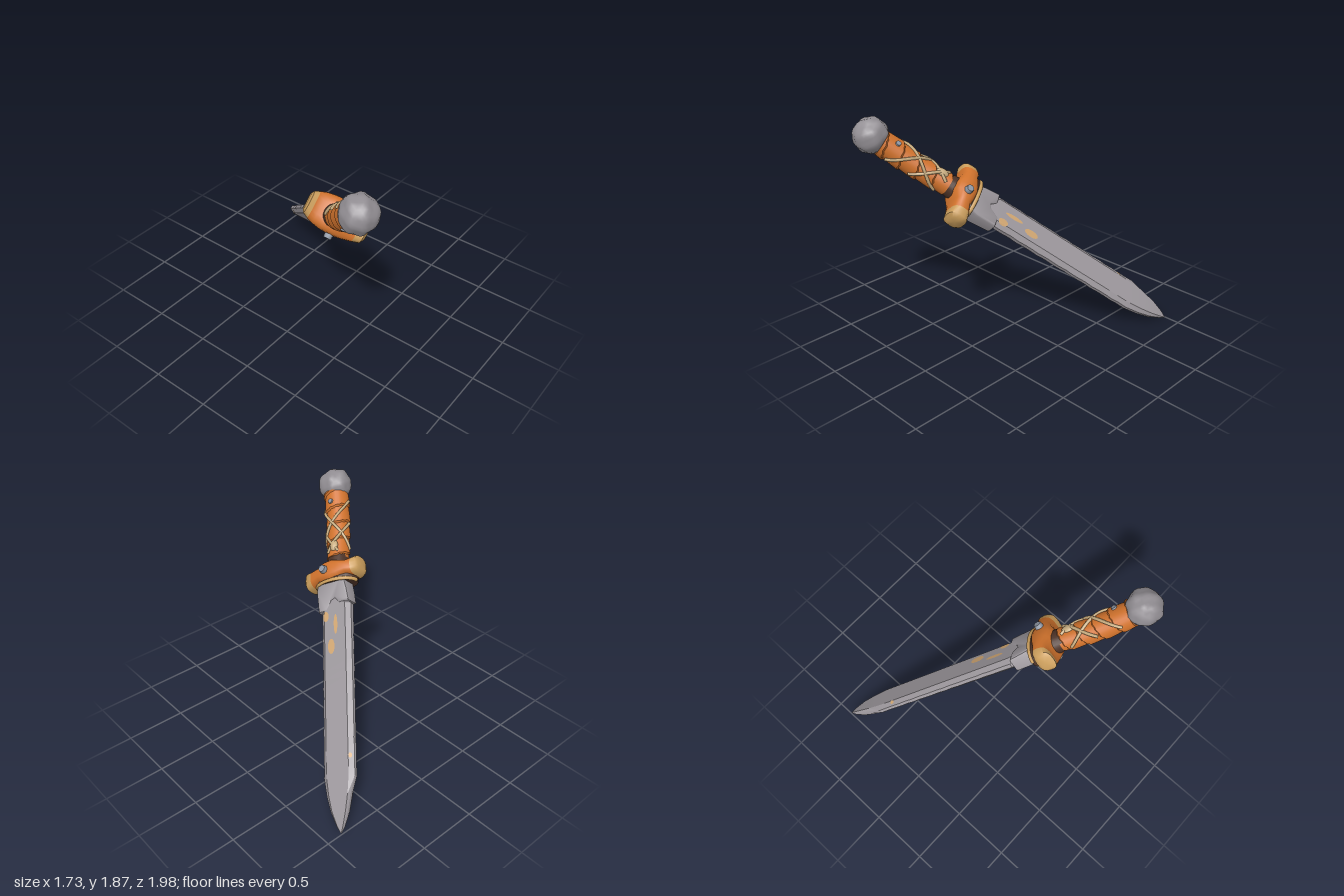
import * as THREE from 'three';
import { mergeVertices, toCreasedNormals } from 'three/addons/utils/BufferGeometryUtils.js';

const mat = (name, color) => {
  const m = new THREE.MeshStandardMaterial({ color });
  m.name = name;
  return m;
};

// Skin a list of closed rings of [x, y, z] points and cap both ends
function loft(rings, crease = 0.6) {
  const n = rings[0].length, pos = [], idx = [];
  rings.forEach(r => r.forEach(p => pos.push(...p)));
  const centre = r => [0, 1, 2].map(k => r.reduce((t, p) => t + p[k], 0) / n);
  const last = rings.length - 1, c0 = rings.length * n, c1 = c0 + 1;
  pos.push(...centre(rings[0]), ...centre(rings[last]));
  for (let j = 0; j < n; j++) {
    const k = (j + 1) % n;
    for (let i = 0; i < last; i++) {
      const a = i * n + j, b = i * n + k;
      idx.push(a, a + n, b, b, a + n, b + n);
    }
    idx.push(c0, j, k, c1, last * n + k, last * n + j);
  }
  const g = new THREE.BufferGeometry();
  g.setAttribute('position', new THREE.Float32BufferAttribute(pos, 3));
  g.setIndex(idx);
  return toCreasedNormals(g, crease);
}

export function createModel() {
  const steel = mat('blade steel', 0x9c979c);
  const iron = mat('pommel iron', 0x918d92);
  const rivetMetal = mat('rivet metal', 0x9199a6);
  const leather = mat('orange leather', 0xd0722c);
  const tan = mat('tan trim', 0xcb9e5c);
  const rust = mat('pale rust', 0xcfa571);
  const cord = mat('beige cord', 0xc8ad80);
  const brown = mat('dark brown', 0x4c3226);

  // Local frame: x = through the blade faces, y = tip to pommel, z = blade width
  const dagger = new THREE.Group();
  dagger.name = 'dagger';
  const add = (name, geo, material) => {
    const m = new THREE.Mesh(geo, material);
    m.name = name;
    dagger.add(m);
    return m;
  };

  // Blade: flat faces, bevelled and slightly nicked edges, one side of the tip straighter
  const thick = s => 0.038 + 0.014 * s / 1.9;
  const stations = [[0, 0.004, 0.004], [0.05, 0.036, 0.016], [0.16, 0.085, 0.031], [0.28, 0.118, 0.037], [0.42, 0.14, thick(0.42)]];
  for (let s = 0.5; s < 1.8; s += 0.07) stations.push([s, 0.14, thick(s)]);
  stations.push([1.82, 0.138, thick(1.82)], [1.87, 0.1, 0.05], [1.95, 0.07, 0.05]);
  add('blade', loft(stations.map(([s, w, h], i) => {
    const nick = f => (i > 3 ? 0.003 * Math.sin(i * f) : 0);
    const p = w + nick(2.3), q = w * (i < 4 ? 0.82 : 1) + nick(3.7), e = h * 0.35, m = w * 0.72;
    return [[h, s, -m], [h, s, m], [e, s, p], [-e, s, p], [-h, s, m], [-h, s, -m], [-e, s, -q], [e, s, -q]];
  }), 0.25), steel);

  // Rust spots laid on both blade faces
  const face = (s, w) => thick(s) * (1 - 0.65 * Math.max(0, (Math.abs(w) - 0.1) / 0.04));
  const spots = [[1.735, 0.085, 0.03, 0.045], [1.655, -0.01, 0.018, 0.085], [1.47, 0.035, 0.032, 0.065], [0.57, -0.115, 0.012, 0.02]];
  for (const side of [1, -1]) for (const [s, w, rw, rs] of spots) {
    const g = new THREE.RingGeometry(0.001, 1, 14, 4), p = g.attributes.position;
    for (let i = 0; i < p.count; i++) {
      const z = w - side * p.getX(i) * rw, y = s + p.getY(i) * rs;
      p.setXYZ(i, side * (face(y, z) + 0.004), y, z);
    }
    g.computeVertexNormals();
    add('rustSpot', g, rust);
  }

  // Collar clasping the blade root, notched in the middle
  const outline = [[0.08, 2.08], [-0.13, 2.08], [-0.155, 1.97], [-0.145, 1.8], [-0.08, 1.8], [-0.04, 1.88], [0.01, 1.9], [0.05, 1.85], [0.125, 1.85], [0.11, 1.94]];
  const collar = new THREE.ExtrudeGeometry(new THREE.Shape(outline.map(p => new THREE.Vector2(...p))),
    { depth: 0.1, bevelThickness: 0.025, bevelSize: 0.014, bevelSegments: 2 });
  collar.translate(0, 0, -0.05).rotateY(Math.PI / 2);
  // Narrow the collar towards the blade
  const cp = collar.attributes.position;
  for (let i = 0; i < cp.count; i++) cp.setX(i, cp.getX(i) * (1 + (cp.getY(i) - 1.97) * 0.9) - 0.008);
  add('collar', toCreasedNormals(collar, 0.7), steel);

  // Guard: rounded sections [width position, height, half height, half depth]
  const guard = (name, list, material) => {
    const curve = v => Math.sign(v) * Math.abs(v) ** 0.7;
    add(name, loft(list.map(([w, s, hs, hn]) => Array.from({ length: 20 }, (_, j) => {
      const a = j / 20 * Math.PI * 2;
      return [-0.015 + hn * curve(Math.sin(a)), s + hs * curve(Math.cos(a)), w];
    })), 0.8), material);
  };
  const low = [-0.18, 2.135, 0.076, 0.112], high = [0.205, 2.1, 0.076, 0.118];
  guard('guardBody', [low, [-0.13, 2.13, 0.066, 0.13], [-0.06, 2.125, 0.09, 0.143], [0, 2.125, 0.108, 0.146],
    [0.06, 2.125, 0.1, 0.146], [0.13, 2.115, 0.068, 0.135], high], leather);
  guard('guardEndBack', [[-0.235, 2.15, 0.045, 0.065], [-0.222, 2.15, 0.074, 0.09], low], tan);
  guard('guardEndFront', [high, [0.265, 2.095, 0.082, 0.1], [0.288, 2.095, 0.05, 0.07]], tan);

  // Dark hollow under the guard with a tan lip along one side
  add('guardHollow', new THREE.CylinderGeometry(0.118, 0.118, 0.07, 24).scale(1, 1, 1.55).translate(-0.015, 2.058, 0), brown);
  const lip = new THREE.TorusGeometry(0.185, 0.016, 8, 24, Math.PI);
  lip.rotateX(Math.PI / 2).rotateY(Math.PI / 2).scale(0.65, 1, 1).translate(-0.015, 2.028, 0.01);
  add('guardLip', lip, tan);

  // Dark socket where the grip enters the guard
  add('gripSocket', new THREE.CylinderGeometry(0.084, 0.1, 0.11, 20).translate(-0.02, 2.235, 0), brown);

  // Grip: overlapping spiral layers of leather, slightly bowed
  const s0 = 2.26, s1 = 2.87;
  const grow = s => 0.014 * (s - s0) / (s1 - s0);
  const bow = s => -0.022 - 0.014 * Math.sin((s - s0) / (s1 - s0) * Math.PI) + grow(s);
  const gripRings = Array.from({ length: 49 }, (_, i) => {
    const s = s0 + (s1 - s0) * i / 48;
    return Array.from({ length: 28 }, (_, j) => {
      const a = j / 28 * Math.PI * 2, t = (s - s0) / 0.15 + j / 28;
      const r = 0.099 - 0.014 * (t - Math.floor(t)) + grow(s);
      return [bow(s) + r * Math.cos(a), s, r * Math.sin(a)];
    });
  });
  add('grip', loft(gripRings, 0.7), leather);

  // Two pairs of crossed cords around the grip: [crossing, start, end]
  for (const [cross, from, to] of [[2.575, 2.34, 2.79], [2.37, 2.3, 2.58]]) for (const turn of [1, -1]) {
    const path = Array.from({ length: 30 }, (_, i) => {
      const s = from + i / 29 * (to - from), a = turn * (s - cross) * 7.85, r = 0.097 + grow(s);
      return new THREE.Vector3(bow(s) + r * Math.cos(a), s, r * Math.sin(a));
    });
    add('gripCord', new THREE.TubeGeometry(new THREE.CatmullRomCurve3(path), 70, 0.013, 6), cord);
  }
  // Flattened knot at the lower crossing
  add('cordKnot', new THREE.SphereGeometry(1, 14, 10).scale(0.028, 0.055, 0.036), cord).position.set(0.06, 2.355, -0.01);

  // Rivets on both sides of the guard and the grip
  const rivet = (name, x, s, w, r) => {
    const g = new THREE.CylinderGeometry(r * 0.75, r, 0.06, 8).rotateZ(-Math.sign(x) * Math.PI / 2);
    add(name, toCreasedNormals(g, 0.9), rivetMetal).position.set(x, s, w);
  };
  rivet('guardRivet', 0.133, 2.125, 0.05, 0.04);
  rivet('guardRivet', -0.165, 2.125, 0.03, 0.04);
  rivet('gripRivet', 0.07, 2.77, 0, 0.028);
  rivet('gripRivet', -0.105, 2.77, 0, 0.028);

  // Pommel: a hammered lumpy ball
  let ball = new THREE.IcosahedronGeometry(1, 5);
  ball.deleteAttribute('normal');
  ball.deleteAttribute('uv');
  ball = mergeVertices(ball, 1e-4);
  const bp = ball.attributes.position, v = new THREE.Vector3();
  for (let i = 0; i < bp.count; i++) {
    v.fromBufferAttribute(bp, i);
    const lump = Math.sin(v.x * 7 + 1) * Math.sin(v.y * 8 + 2) + Math.sin(v.z * 8 + v.x * 4);
    v.multiplyScalar(0.141 * (1 + 0.035 * lump));
    bp.setXYZ(i, v.x, v.y, v.z);
  }
  ball.computeVertexNormals();
  add('pommel', ball, iron).position.set(0, 2.972, 0.004);

  // Lean the dagger into its diagonal pose, tip on the ground
  const along = new THREE.Vector3(-0.531, 0.582, 0.616).normalize();
  const width = new THREE.Vector3(0, 0, 1).addScaledVector(along, -along.z).normalize();
  const through = new THREE.Vector3().crossVectors(along, width);
  dagger.quaternion.setFromRotationMatrix(new THREE.Matrix4().makeBasis(through, along, width));
  dagger.position.set(0.862, 0.003, -0.99);

  const model = new THREE.Group();
  model.name = 'model';
  model.add(dagger);
  return model;
}
